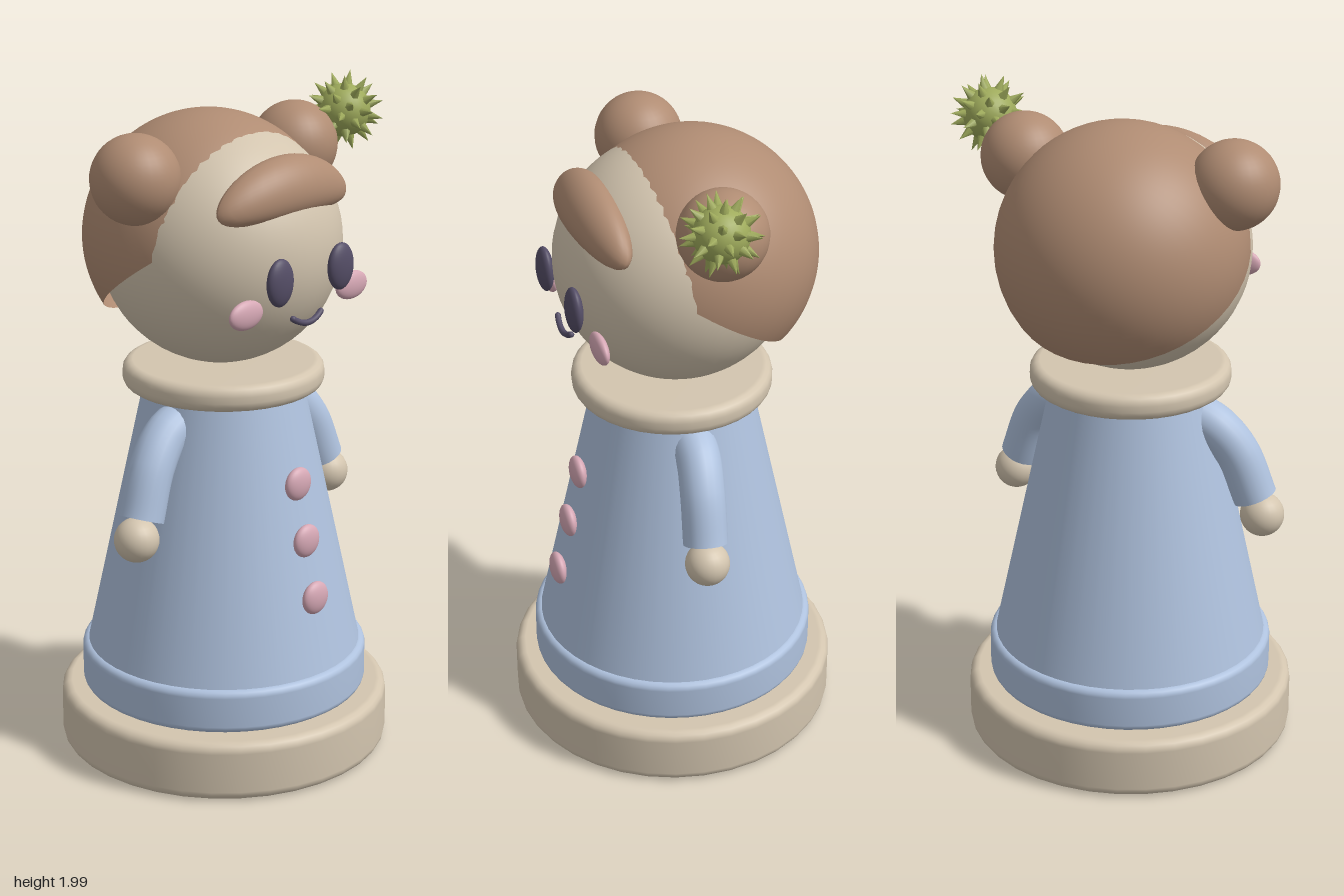
import * as THREE from 'three';

const mat = (name, color, side = THREE.FrontSide) => {
  const m = new THREE.MeshStandardMaterial({ color, side });
  m.name = name;
  return m;
};

export function createModel() {
  const cream = mat('cream', 0xd3c5af);
  const blue = mat('dress blue', 0xafc2de);
  const brown = mat('hair brown', 0xb08c73, THREE.DoubleSide);
  const pink = mat('pink', 0xd6a8b5);
  const dark = mat('eye dark', 0x554e67);
  const green = mat('burr green', 0x9fab5c);

  const model = new THREE.Group();
  model.name = 'doll';
  const doll = new THREE.Group();
  doll.name = 'figure';
  doll.position.x = -0.047;
  model.add(doll);

  const add = (name, geo, material, x = 0, y = 0, z = 0, parent = doll) => {
    const m = new THREE.Mesh(geo, material);
    m.name = name;
    m.position.set(x, y, z);
    parent.add(m);
    return m;
  };
  const ellipsoid = (rx, ry, rz, w = 32, h = 20) =>
    new THREE.SphereGeometry(1, w, h).scale(rx, ry, rz);

  // Disc with rounded rims
  const roundDisc = (r, y0, y1, b, segments = 36) => {
    const pts = [new THREE.Vector2(0, y0)];
    for (const [cy, start] of [[y0 + b, -Math.PI / 2], [y1 - b, 0]]) {
      for (let i = 0; i <= 4; i++) {
        const a = start + (i / 4) * Math.PI / 2;
        pts.push(new THREE.Vector2(r - b + b * Math.cos(a), cy + b * Math.sin(a)));
      }
    }
    pts.push(new THREE.Vector2(0, y1));
    return new THREE.LatheGeometry(pts, segments);
  };

  // Base, dress and collar
  add('base', roundDisc(0.497, 0.005, 0.187, 0.03), cream);
  add('hem', roundDisc(0.431, 0.19, 0.325, 0.022, 48), blue);
  add('dress', new THREE.CylinderGeometry(0.235, 0.413, 0.82, 48), blue, 0, 0.73, 0);
  add('collar', roundDisc(0.298, 1.13, 1.208, 0.03), cream);

  // Buttons follow the slope of the dress
  [[0.888, 0.302], [0.72, 0.337], [0.551, 0.374]].forEach(([y, z]) =>
    add('button', ellipsoid(0.05, 0.05, 0.023), pink, 0, y, z));

  // Head and the tilted cap of hair
  add('head', new THREE.SphereGeometry(0.356, 48, 32), cream, 0, 1.562, -0.012);
  const cap = new THREE.SphereGeometry(0.368, 48, 32, 0, Math.PI * 2, 0, 1.75);
  add('hair', cap, brown, 0, 1.571, -0.06).rotation.x = -0.6;

  // Fringe: an ellipsoid with drooping, swept-back ends
  const fringe = ellipsoid(0.257, 0.088, 0.068, 32, 24).rotateX(-0.4);
  const p = fringe.attributes.position;
  for (let i = 0; i < p.count; i++) {
    const x = p.getX(i);
    p.setY(i, p.getY(i) - 0.75 * x * x);
    p.setZ(i, p.getZ(i) - 0.3 * x * x);
  }
  fringe.computeVertexNormals();
  add('fringe', fringe, brown, 0, 1.766, 0.252);

  // Paired parts
  for (const s of [-1, 1]) {
    const side = s > 0 ? 'left' : 'right';
    add(side + 'Bun', new THREE.SphereGeometry(0.129, 32, 24), brown, s * 0.326, 1.794, -0.023);
    add(side + 'Eye', ellipsoid(0.05, 0.069, 0.023), dark, s * 0.126, 1.526, 0.343);
    add(side + 'Cheek', ellipsoid(0.065, 0.042, 0.02), pink, s * 0.22, 1.444, 0.302);

    const path = new THREE.CatmullRomCurve3([
      [0.19, 1.065, 0.015], [0.265, 1.03, 0.02], [0.33, 0.955, 0.033], [0.385, 0.816, 0.045],
    ].map(([x, y, z]) => new THREE.Vector3(s * x, y, z)));
    add(side + 'Sleeve', new THREE.TubeGeometry(path, 20, 0.066, 20), blue);
    add(side + 'Shoulder', new THREE.SphereGeometry(0.066, 20, 14), blue, s * 0.19, 1.065, 0.015);
    // Cuff disc closes the sleeve end
    const cuff = add(side + 'Cuff', new THREE.CircleGeometry(0.066, 20), blue, s * 0.385, 0.816, 0.045);
    cuff.lookAt(cuff.position.clone().add(path.getTangent(1)));
    add(side + 'Hand', new THREE.SphereGeometry(0.066, 24, 16), cream, s * 0.408, 0.76, 0.048);
  }

  // Smile
  const smile = new THREE.QuadraticBezierCurve3(
    new THREE.Vector3(-0.058, 1.405, 0.33),
    new THREE.Vector3(0, 1.365, 0.342),
    new THREE.Vector3(0.058, 1.405, 0.33));
  add('mouth', new THREE.TubeGeometry(smile, 20, 0.009, 10), dark);
  for (const end of [smile.v0, smile.v2])
    add('mouthEnd', new THREE.SphereGeometry(0.009, 10, 8), dark, end.x, end.y, end.z);

  // Spiky burr beside the left bun
  const burr = new THREE.Group();
  burr.name = 'burr';
  burr.position.set(0.425, 1.882, 0.042);
  model.add(burr);
  add('burrCore', new THREE.SphereGeometry(0.079, 24, 16), green, 0, 0, 0, burr);
  const spike = new THREE.ConeGeometry(0.016, 0.048, 6).translate(0, 0.096, 0);
  const up = new THREE.Vector3(0, 1, 0);
  const count = 42;
  for (let i = 0; i < count; i++) {
    const y = 1 - (2 * i + 1) / count;
    const r = Math.sqrt(1 - y * y);
    const a = i * 2.39996;
    const dir = new THREE.Vector3(r * Math.cos(a), y, r * Math.sin(a));
    add('spike', spike, green, 0, 0, 0, burr).quaternion.setFromUnitVectors(up, dir);
  }
  return model;
}
